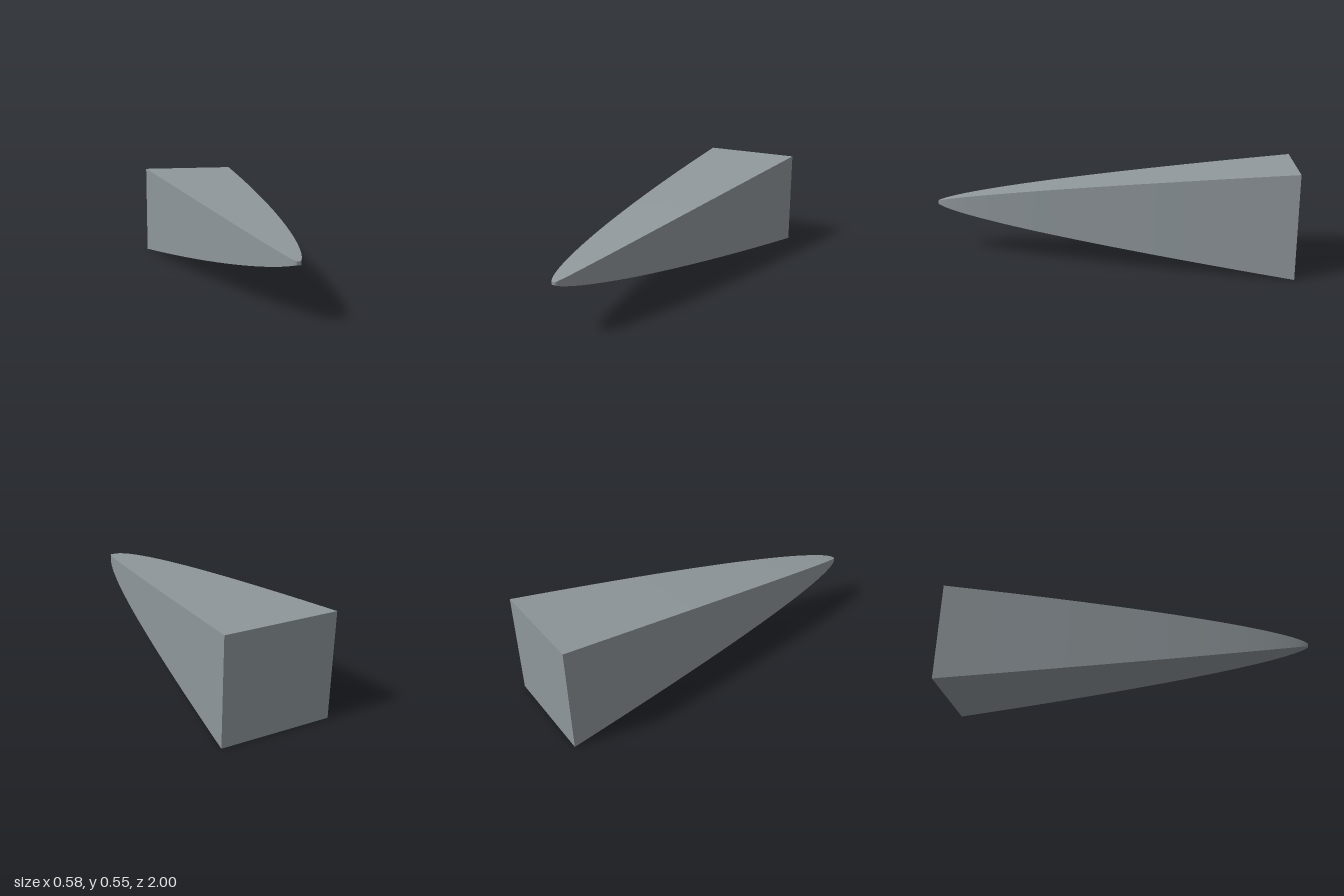
import * as THREE from 'three';

const LENGTH = 2;
const TIP = 0.0075; // half size of the blunt square tip
const BASE = { x: 0.292, y: 0.276 }; // half size of the rear face
const POWER = { x: 0.63, y: 0.78 }; // bulge of the side and top curves

// Half size of the square section at t (0 tip, 1 rear)
const half = (axis, t) => TIP + (BASE[axis] - TIP) * Math.pow(t, POWER[axis]);

export function createModel() {
  const model = new THREE.Group();
  model.name = 'taperedSpike';
  const slate = new THREE.MeshStandardMaterial({ color: 0x8f979b });
  slate.name = 'slateGrey';

  // Square bar whose sections shrink to the tip, with rings packed near it
  const geometry = new THREE.BoxGeometry(2, 2, 1, 1, 1, 48);
  const pos = geometry.attributes.position;
  for (let i = 0; i < pos.count; i++) {
    const t = Math.pow(0.5 - pos.getZ(i), 2);
    pos.setXYZ(
      i,
      pos.getX(i) * half('x', t),
      BASE.y + pos.getY(i) * half('y', t),
      LENGTH * (0.5 - t)
    );
  }
  geometry.computeVertexNormals();

  const body = new THREE.Mesh(geometry, slate);
  body.name = 'spikeBody';
  model.add(body);
  return model;
}
